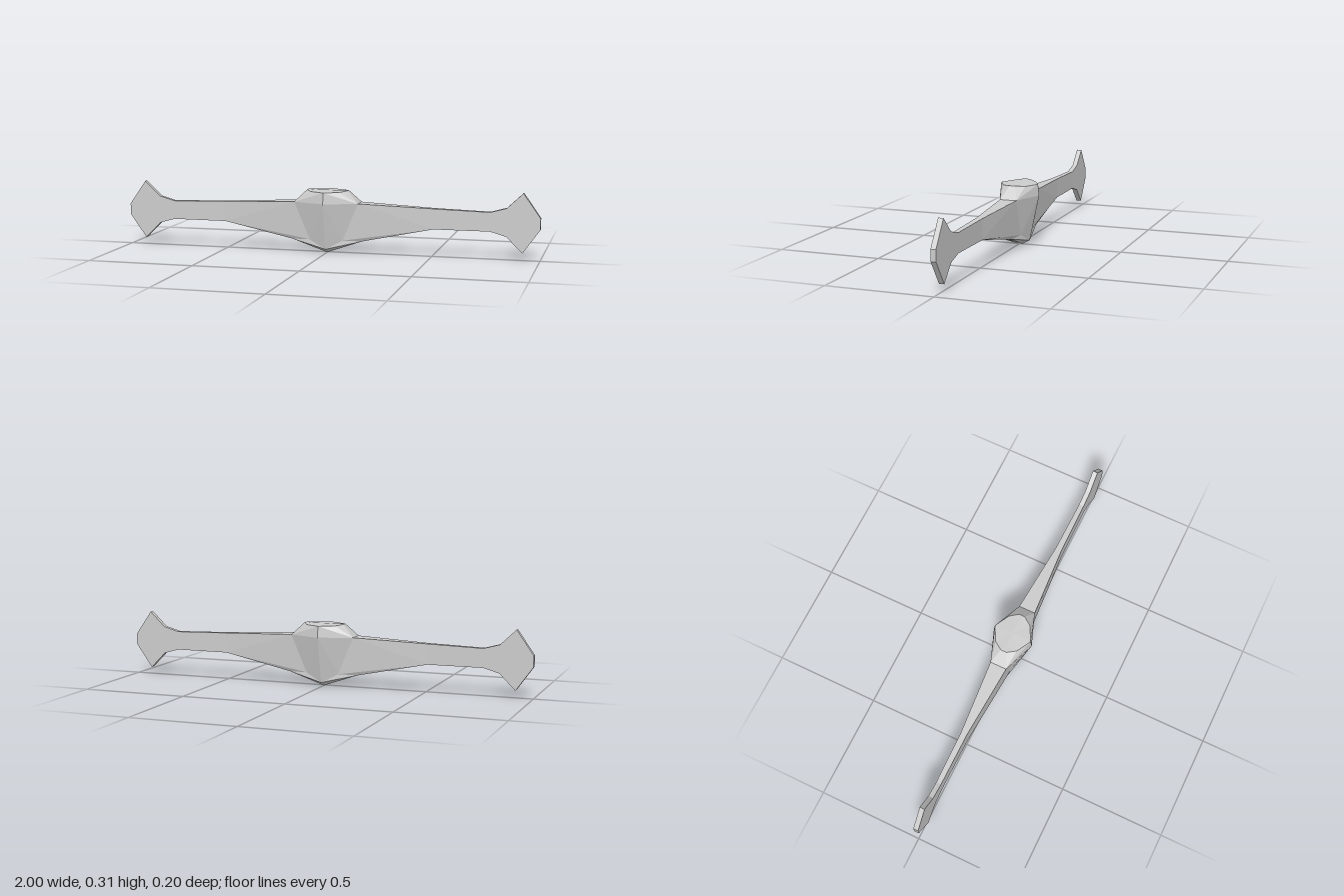
import * as THREE from 'three';

// Each station is half of a cross-section (z >= 0), running from the top
// centre line, round the side, to the bottom centre line: [x, y, z].
const hub = [
  [[0, 0.297, 0], [0, 0.293, 0.092], [0, 0.24, 0.098], [0, 0.02, 0.051], [0, 0, 0.014], [0, 0.022, 0]],
  [[0.07, 0.297, 0], [0.07, 0.293, 0.054], [0.155, 0.24, 0.04], [0.08, 0.062, 0.036], [0.17, 0.06, 0.023], [0.17, 0.06, 0]],
  [[0.098, 0.297, 0], [0.098, 0.297, 0.014], [0.155, 0.24, 0.04], [0.08, 0.062, 0.036], [0.17, 0.06, 0.023], [0.17, 0.06, 0]],
  [[0.155, 0.24, 0], [0.155, 0.24, 0.04], [0.155, 0.24, 0.04], [0.08, 0.062, 0.036], [0.17, 0.06, 0.023], [0.17, 0.06, 0]],
];

// Plain rectangular section for the arms
const slab = (x, bottom, top, z) =>
  [[x, top, 0], [x, top, z], [x, top, z], [x, bottom, z], [x, bottom, z * 0.8], [x, bottom, 0]];

const arm = [
  hub[3],
  slab(0.51, 0.13, 0.226, 0.015),
  slab(0.77, 0.13, 0.219, 0.012),
];
const blade = [
  arm[2],
  slab(0.845, 0.109, 0.24, 0.012),
  slab(0.92, 0.034, 0.312, 0.012),
  slab(1, 0.146, 0.198, 0.012),
];

// Skins the stations, mirrored to the side sx and to both front and back
function loft(stations, sx, capEnd) {
  const positions = [];
  const a = new THREE.Vector3(), b = new THREE.Vector3(), c = new THREE.Vector3();
  for (const sz of [1, -1]) {
    const tri = (p, q, r) => {
      const corners = sx * sz > 0 ? [p, q, r] : [p, r, q];
      const [u, v, w] = corners.map(([x, y, z]) => [x * sx, y, z * sz]);
      a.fromArray(u); b.fromArray(v).sub(a); c.fromArray(w).sub(a);
      if (b.cross(c).length() > 1e-7) positions.push(...u, ...v, ...w);
    };
    for (let i = 0; i < stations.length - 1; i++) {
      const s = stations[i], t = stations[i + 1];
      for (let j = 0; j < s.length - 1; j++) {
        tri(s[j], s[j + 1], t[j + 1]);
        tri(s[j], t[j + 1], t[j]);
      }
    }
    if (capEnd) {
      const end = stations[stations.length - 1];
      for (let j = 1; j < end.length - 1; j++) tri(end[0], end[j], end[j + 1]);
    }
  }
  const geometry = new THREE.BufferGeometry();
  geometry.setAttribute('position', new THREE.Float32BufferAttribute(positions, 3));
  geometry.computeVertexNormals();
  return geometry;
}

export function createModel() {
  const group = new THREE.Group();
  group.name = 'wingedBlade';
  const steel = new THREE.MeshStandardMaterial({ color: 0xcccccc });
  steel.name = 'steel grey';
  steel.flatShading = true;

  const add = (name, geometry) => {
    const mesh = new THREE.Mesh(geometry, steel);
    mesh.name = name;
    group.add(mesh);
  };

  for (const [side, sx] of [['left', 1], ['right', -1]]) {
    add(side + 'Hub', loft(hub, sx, false));
    add(side + 'Arm', loft(arm, sx, false));
    add(side + 'BladeTip', loft(blade, sx, true));
  }
  return group;
}
